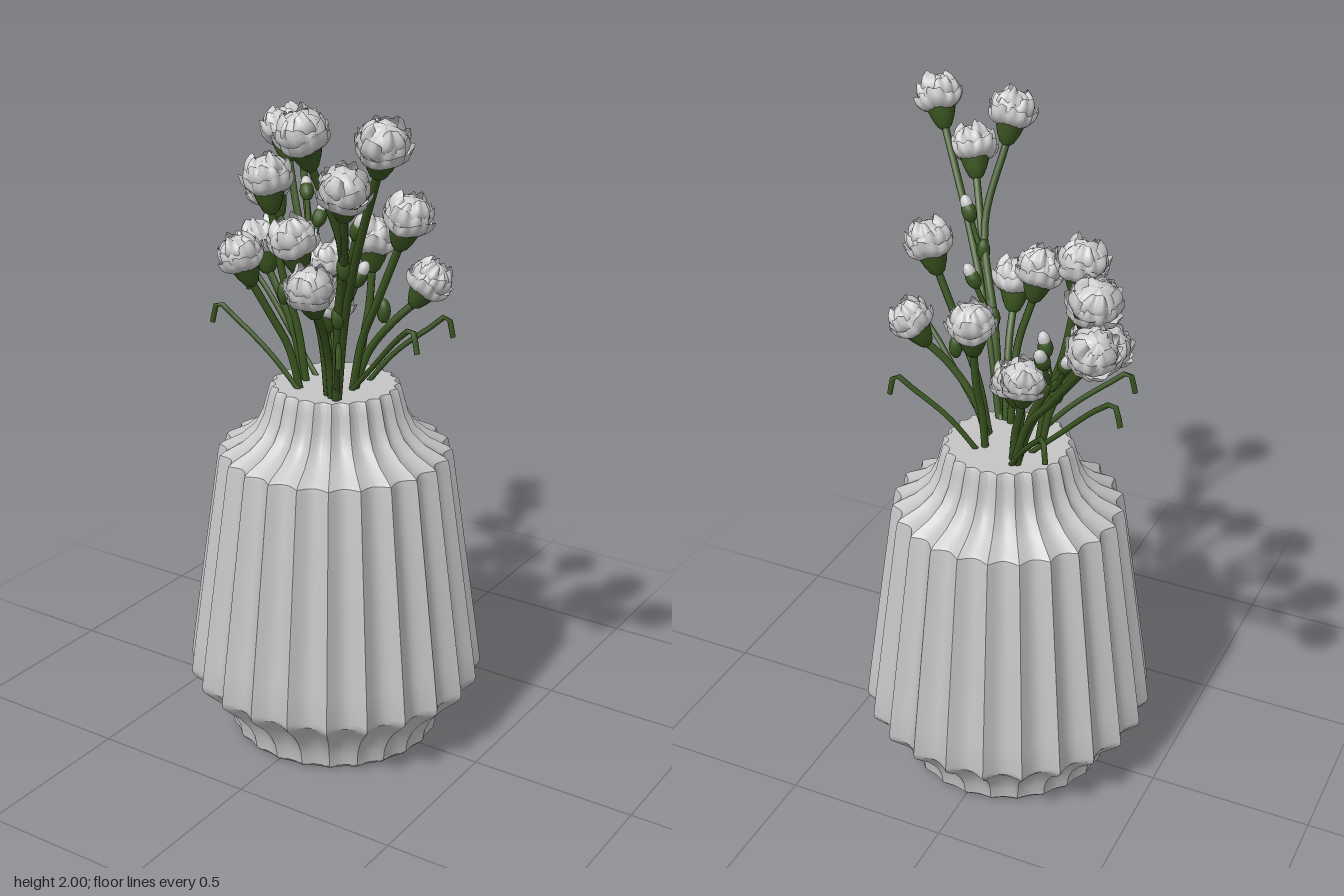
import * as THREE from 'three';
import { mergeGeometries, toCreasedNormals } from 'three/addons/utils/BufferGeometryUtils.js';

const V = (x, y, z) => new THREE.Vector3(x, y, z);
const P = (x, y) => new THREE.Vector2(x, y);

const petalMat = new THREE.MeshStandardMaterial({ color: 0xcccccc, side: THREE.DoubleSide });
petalMat.name = 'pale petals';
const vaseMat = new THREE.MeshStandardMaterial({ color: 0xc4c4c4 });
vaseMat.name = 'grey ceramic';
const greenMat = new THREE.MeshStandardMaterial({ color: 0x3a5520, side: THREE.DoubleSide });
greenMat.name = 'stem green';

function add(parent, name, geometry, material) {
  const mesh = new THREE.Mesh(geometry, material);
  mesh.name = name;
  parent.add(mesh);
  return mesh;
}

// Vase: lathe profile pressed into 24 scalloped flutes
function vaseGeometry() {
  const profile = [
    [0, 0], [0.305, 0], [0.316, 0.012], [0.322, 0.05], [0.342, 0.09], [0.378, 0.135],
    [0.425, 0.178], [0.442, 0.196], [0.444, 0.212], [0.432, 0.3], [0.396, 0.55], [0.347, 0.885],
    [0.342, 0.904], [0.328, 0.914], [0.275, 0.94], [0.235, 0.975], [0.212, 1.02], [0.2, 1.065],
    [0.191, 1.098], [0.186, 1.105], [0, 1.105]];
  const geo = new THREE.LatheGeometry(profile.map(([r, y]) => P(r, y)), 192);
  const pos = geo.attributes.position;
  for (let i = 0; i < pos.count; i++) {
    const x = pos.getX(i), y = pos.getY(i), z = pos.getZ(i);
    const depth = 0.025 + 0.045 * THREE.MathUtils.smoothstep(y, 0, 0.18);
    const k = 1 - depth * Math.abs(Math.sin(12 * Math.atan2(x, z)));
    pos.setXYZ(i, x * k, y, z * k);
  }
  return toCreasedNormals(geo, 0.55);
}

// One open petal ring, more ruffled towards its rim
function petalRing(points, waves, amp, seed) {
  const curve = new THREE.SplineCurve(points.map(([r, y]) => P(r, y)));
  const rows = 7;
  const geo = new THREE.LatheGeometry(curve.getPoints(rows), 60);
  const pos = geo.attributes.position;
  for (let i = 0; i < pos.count; i++) {
    const t = (i % (rows + 1)) / rows;
    const x = pos.getX(i), y = pos.getY(i), z = pos.getZ(i), a = Math.atan2(x, z);
    const w = Math.sin(waves * a + seed) + 0.8 * Math.sin(5 * a + seed * 2.3);
    const k = 1 + amp * t * w;
    pos.setXYZ(i, x * k, y + 0.12 * amp * t * Math.sin(3 * a + seed * 1.7) + 0.004 * t * w, z * k);
  }
  geo.computeVertexNormals();
  return geo;
}

// Ruffled flower head: lumpy core inside three petal rings
function headGeometry(seed) {
  const core = new THREE.SphereGeometry(0.057, 36, 18);
  const pos = core.attributes.position;
  for (let i = 0; i < pos.count; i++) {
    const x = pos.getX(i), y = pos.getY(i), z = pos.getZ(i), a = Math.atan2(x, z);
    const s = Math.hypot(x, z) / 0.057;
    const k = 1 + s * (0.07 * Math.sin(4 * a + seed + y * 60) + 0.05 * Math.sin(7 * a - y * 90 + seed * 3));
    pos.setXYZ(i, x * k, y * 0.95 * k + 0.006, z * k);
  }
  core.computeVertexNormals();
  return mergeGeometries([
    core,
    petalRing([[0.012, -0.045], [0.045, -0.038], [0.066, -0.018], [0.069, 0.008]], 13, 0.075, seed),
    petalRing([[0.015, -0.035], [0.054, -0.015], [0.064, 0.012], [0.056, 0.035]], 11, 0.07, seed + 2),
    petalRing([[0.02, -0.02], [0.056, 0.015], [0.05, 0.042], [0.03, 0.058]], 9, 0.09, seed + 4)]);
}

const tube = (pts, r, seg = 16) =>
  new THREE.TubeGeometry(new THREE.CatmullRomCurve3(pts), seg, r, 7);

// Stem from its foot through a fork point to a flower head
function addFlower(group, [hx, hy, hz, size, bx, bz, fx, fy, fz], index) {
  const head = V(hx, hy, hz), fork = V(fx, fy, fz), foot = V(bx, 1.09, bz);
  const axis = head.clone().sub(fork).normalize().add(V(0, 0.25, 0)).normalize();
  const neck = head.clone().addScaledVector(axis, -0.085 * size);
  const low = foot.clone().lerp(fork, 0.5).add(V((bx - fx) * 0.12, 0.015, (bz - fz) * 0.12));
  const flower = new THREE.Group();
  flower.name = 'flower' + (index + 1);
  add(flower, 'stem', tube([foot, low, fork, neck], 0.0115, 20), greenMat);
  const top = new THREE.Group();
  top.name = 'flowerHead';
  top.position.copy(head);
  top.quaternion.setFromUnitVectors(V(0, 1, 0), axis);
  top.scale.setScalar(size);
  add(top, 'petals', headGeometry(index * 1.9), petalMat);
  add(top, 'calyx', new THREE.LatheGeometry(
    [[0.01, -0.1], [0.022, -0.09], [0.034, -0.065], [0.044, -0.035], [0.05, -0.02]].map(([r, y]) => P(r, y)), 14), greenMat);
  flower.add(top);
  group.add(flower);
}

export function createModel() {
  const model = new THREE.Group();
  model.name = 'flowerVase';
  add(model, 'vase', vaseGeometry(), vaseMat);

  // head x, y, z, size, foot x, z, fork x, y, z
  const flowers = [
    [-0.44, 1.72, -0.47, 0.98, -0.06, -0.1, -0.24, 1.42, -0.24],
    [-0.37, 1.755, -0.29, 1.05, -0.07, -0.1, -0.25, 1.5, -0.19],
    [-0.37, 1.59, -0.2, 1, -0.07, -0.1, -0.23, 1.42, -0.15],
    [-0.12, 1.41, -0.155, 0.95, -0.05, -0.08, -0.09, 1.28, -0.12],
    [0.06, 1.52, -0.11, 1, 0.05, -0.05, 0.06, 1.32, -0.085],
    [-0.03, 1.33, -0.035, 0.9, -0.04, -0.02, -0.05, 1.22, -0.02],
    [-0.26, 1.49, 0, 1, -0.09, 0.03, -0.17, 1.33, 0.02],
    [-0.2, 1.69, 0.045, 1.05, -0.08, 0.03, -0.15, 1.4, 0.04],
    [-0.19, 1.5, 0.19, 0.95, -0.06, 0.09, -0.13, 1.33, 0.14],
    [-0.01, 1.57, 0.195, 1.02, 0.04, 0.1, 0.04, 1.34, 0.15],
    [0.29, 1.45, -0.03, 0.92, 0.07, 0.01, 0.19, 1.32, 0],
    [0.28, 1.65, 0.075, 1, 0.07, 0.02, 0.18, 1.4, 0.06],
    [0.11, 1.475, 0.29, 1, 0.06, 0.11, 0.09, 1.33, 0.2],
    [0.19, 1.925, 0.44, 1, 0.08, 0.12, 0.22, 1.62, 0.31],
    [0.315, 1.8, 0.44, 1, 0.08, 0.12, 0.21, 1.55, 0.28],
    [0.435, 1.93, 0.455, 1, 0.08, 0.11, 0.27, 1.6, 0.31]];
  flowers.forEach((f, i) => addFlower(model, f, i));

  // Arching narrow leaves with drooping tips: foot x, z, tip x, z, height
  const leaves = [
    [-0.07, -0.02, -0.38, -0.1, 1.36], [-0.05, 0.1, -0.33, 0.145, 1.33],
    [0.06, -0.07, 0.31, -0.135, 1.32], [0.06, 0.02, 0.36, 0.15, 1.36],
    [0.07, 0.1, 0.22, 0.32, 1.34], [-0.05, -0.1, -0.26, -0.33, 1.34]];
  for (const [bx, bz, tx, tz, h] of leaves) {
    const at = (t, y) => V(bx + (tx - bx) * t, y, bz + (tz - bz) * t);
    add(model, 'leaf', tube([at(0, 1.09), at(0.35, 1.2), at(0.75, h - 0.035), at(0.93, h), at(1, h - 0.06)], 0.008), greenMat);
  }

  // Side shoots ending in small closed buds: stem point, then bud point
  const shoots = [
    [[0.2, 1.53, 0.27], [0.26, 1.66, 0.29]], [[0.14, 1.38, 0.2], [0.2, 1.5, 0.19]],
    [[-0.22, 1.43, -0.2], [-0.3, 1.57, -0.3]], [[-0.12, 1.3, 0.04], [-0.1, 1.42, 0.03]],
    [[-0.2, 1.4, -0.14], [-0.2, 1.52, -0.22]]];
  for (const [from, to] of shoots) {
    const a = V(...from), b = V(...to), mid = a.clone().lerp(b, 0.5).add(V(0, -0.015, 0));
    add(model, 'sideShoot', tube([a, mid, b], 0.008, 8), greenMat);
    const dir = b.clone().sub(a).normalize();
    for (const [name, r, offset, mat] of [['budCalyx', 0.022, 0, greenMat], ['budTip', 0.018, 0.024, petalMat]]) {
      const bud = add(model, name, new THREE.SphereGeometry(r, 12, 8), mat);
      bud.scale.y = 1.5;
      bud.quaternion.setFromUnitVectors(V(0, 1, 0), dir);
      bud.position.copy(b).addScaledVector(dir, offset);
    }
  }

  // Swollen joints where the stems branch
  for (const [x, y, z] of [[0.21, 1.55, 0.28], [0.14, 1.38, 0.2], [-0.23, 1.42, -0.19], [-0.15, 1.36, 0.04], [0.18, 1.36, 0.03]]) {
    const joint = add(model, 'stemJoint', new THREE.SphereGeometry(0.02, 12, 8), greenMat);
    joint.scale.y = 1.8;
    joint.position.set(x, y, z);
  }
  return model;
}
